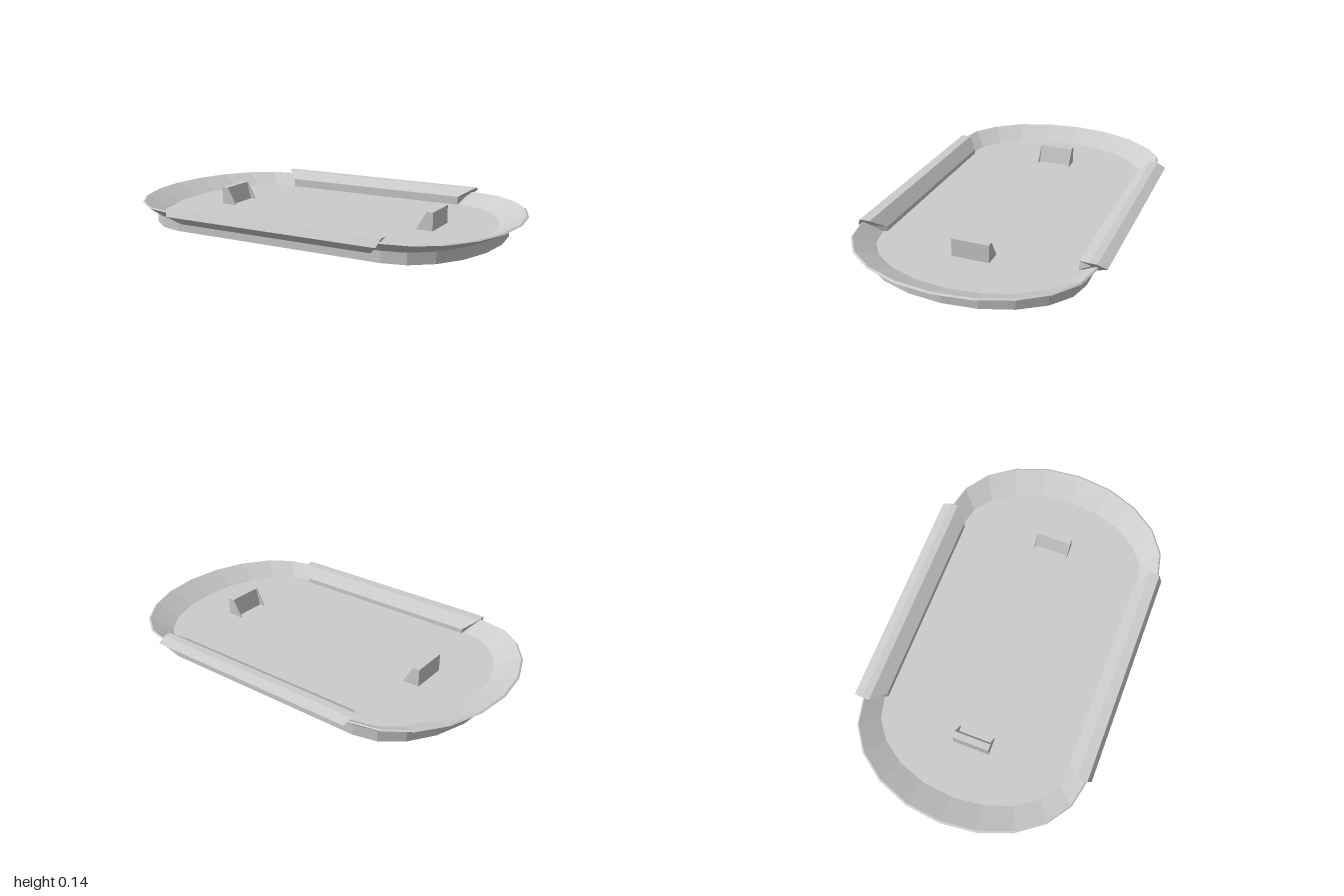
import * as THREE from 'three';

const material = new THREE.MeshStandardMaterial({ color: 0xcccccc, flatShading: true, side: THREE.DoubleSide });
const Z0 = 0.01; // the tray sits slightly forward of the centre
const FLOOR = 0.045;

function facets(name, positions) {
  const geometry = new THREE.BufferGeometry();
  geometry.setAttribute('position', new THREE.Float32BufferAttribute(positions, 3));
  geometry.computeVertexNormals();
  const mesh = new THREE.Mesh(geometry, material);
  mesh.name = name;
  return mesh;
}

// Oval outline: two half ellipses joined by straight sides
function ring([halfX, centreX, halfZ, y]) {
  const points = [];
  for (const side of [1, -1]) {
    for (let i = 0; i <= 10; i++) {
      const a = (-0.5 + i / 10) * Math.PI;
      points.push([side * (centreX + (halfX - centreX) * Math.cos(a)), y, Z0 + side * halfZ * Math.sin(a)]);
    }
  }
  return points;
}

// Skin between successive oval rings
function loft(name, profile) {
  const rings = profile.map(ring), out = [];
  for (let i = 0; i < rings.length - 1; i++) {
    const n = rings[i].length;
    for (let j = 0; j < n; j++) {
      const k = (j + 1) % n;
      const a = rings[i][j], d = rings[i][k], b = rings[i + 1][j], c = rings[i + 1][k];
      out.push(...a, ...d, ...c, ...a, ...c, ...b);
    }
  }
  return facets(name, out);
}

// Bar along x from a counter-clockwise section of [z, y, halfLength]
function bar(name, section) {
  const out = [], n = section.length;
  const centre = [0, 1, 2].map(i => section.reduce((s, p) => s + p[i], 0) / n);
  const at = ([z, y, half], side) => [side * half, y, z];
  section.forEach((p, i) => {
    const q = section[(i + 1) % n];
    out.push(...at(p, -1), ...at(p, 1), ...at(q, 1), ...at(p, -1), ...at(q, 1), ...at(q, -1));
    out.push(...at(centre, -1), ...at(p, -1), ...at(q, -1));
    out.push(...at(centre, 1), ...at(q, 1), ...at(p, 1));
  });
  return facets(name, out);
}

// Wedge block with two thin triangular cheeks on its inner side
function makeClip(name) {
  const clip = new THREE.Group();
  clip.name = name;
  clip.add(bar('clipBlock', [
    [0.605, FLOOR, 0.093], [0.605, 0.135, 0.093], [0.572, 0.135, 0.093], [0.547, FLOOR, 0.093],
  ]));
  for (const side of [1, -1]) {
    const cheek = bar('clipCheek', [
      [0.572, 0.135, 0.003], [0.52, FLOOR, 0.003], [0.572, FLOOR, 0.003],
    ]);
    cheek.position.x = side * 0.09;
    clip.add(cheek);
  }
  return clip;
}

export function createModel() {
  const model = new THREE.Group();
  model.name = 'tray';

  // Floor, flared rim and the open skirt beneath, each ring [halfX, centreX, halfZ, y]
  model.add(loft('trayBody', [
    [0, 0, 0, FLOOR],
    [0.86, 0.52, 0.5, FLOOR],
    [0.99, 0.575, 0.578, 0.105],
    [1, 0.575, 0.585, 0.1],
    [0.91, 0.55, 0.535, 0.055],
    [0.91, 0.55, 0.535, 0],
    [0.905, 0.55, 0.53, 0],
    [0.905, 0.55, 0.53, FLOOR - 0.003],
    [0, 0, 0, FLOOR - 0.003],
  ]));

  // Long grips over the straight edges
  model.add(bar('backGrip', [
    [-0.475, 0.047, 0.51], [-0.475, 0.09, 0.51], [-0.537, 0.13, 0.578],
    [-0.575, 0.13, 0.578], [-0.62, 0.11, 0.57], [-0.56, 0.06, 0.51],
  ]));
  model.add(bar('frontGrip', [
    [0.565, 0.043, 0.51], [0.617, 0.085, 0.56], [0.597, 0.122, 0.575],
    [0.545, 0.122, 0.575], [0.49, 0.07, 0.51], [0.49, 0.047, 0.51],
  ]));

  // Clips standing on the floor
  for (const side of [1, -1]) {
    const clip = makeClip(side > 0 ? 'leftClip' : 'rightClip');
    clip.rotation.y = side * Math.PI / 2;
    clip.position.z = Z0;
    model.add(clip);
  }
  return model;
}
